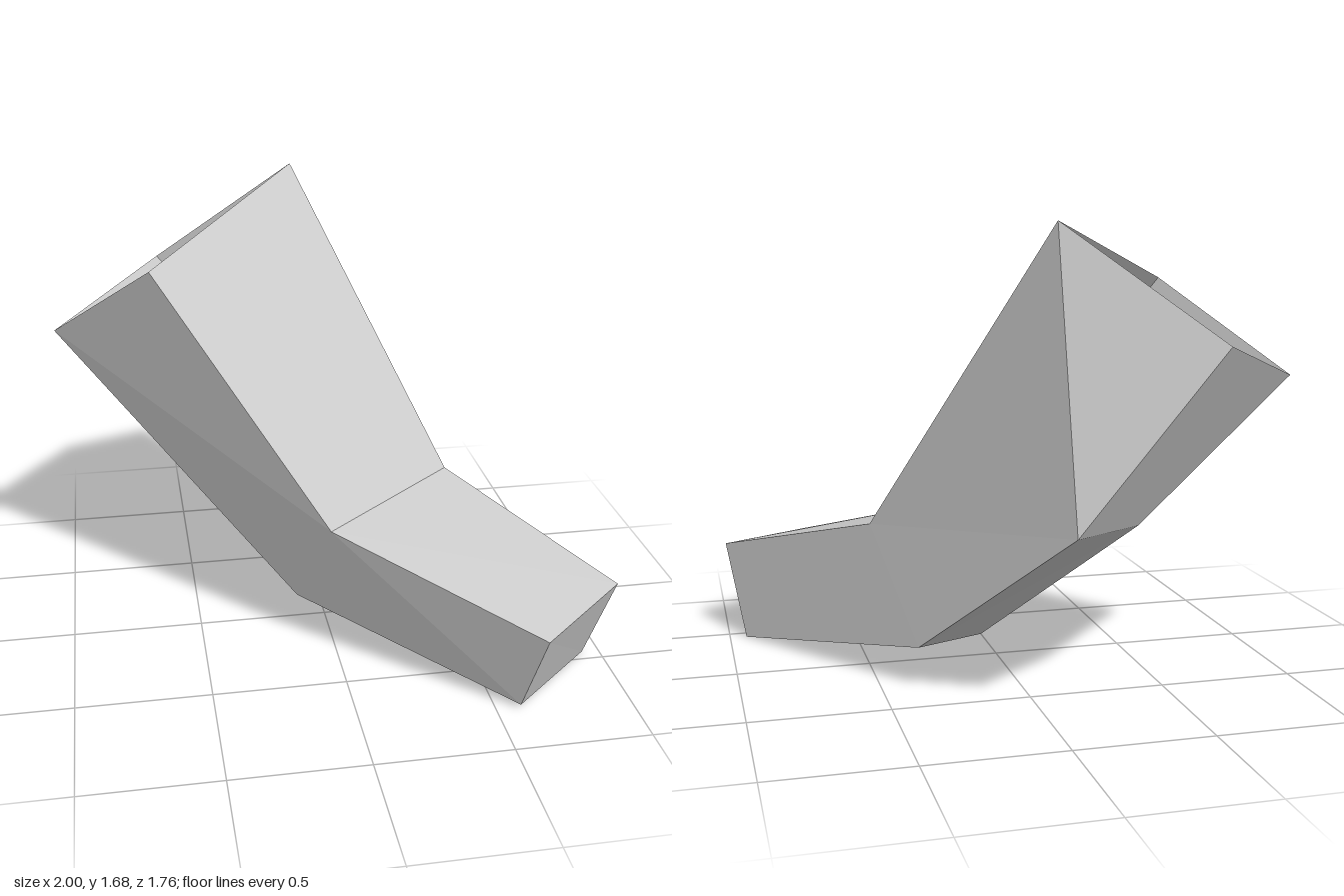
import * as THREE from 'three';

// Corner points of the bent, boot-like shell
const P = {
  cuffRight: [-0.02, 1.68, -0.73], cuffLeft: [-0.635, 1.46, -0.03],
  heelLeft: [-1.0, 1.12, -0.435], heelRight: [-0.57, 1.275, -0.88],
  backRight: [-0.06, 0.655, -0.85], backMid: [-0.36, 0.63, -0.6],
  bendLeft: [-0.035, 0.56, 0.36], bendRight: [0.505, 0.57, -0.09],
  soleLeft: [-0.135, 0.19, 0.16], soleMid: [0.08, 0.11, -0.08], soleRight: [0.37, 0.155, -0.32],
  tipTopLeft: [0.64, 0.34, 0.88], tipTopRight: [1.0, 0.365, 0.575],
  tipLowLeft: [0.59, 0.015, 0.77], tipLowRight: [0.935, 0.0, 0.45],
};

// Panels of the shell; the end beyond the cuff stays open
const panels = {
  shinPanel: ['cuffLeft bendLeft bendRight cuffRight'],
  instepPanel: ['bendLeft tipTopLeft tipTopRight bendRight'],
  leftWall: ['heelLeft soleLeft bendLeft cuffLeft', 'bendLeft soleLeft tipLowLeft tipTopLeft'],
  rightWall: ['cuffRight bendRight backRight', 'bendRight soleRight backRight',
    'bendRight tipTopRight tipLowRight soleRight'],
  tipPanel: ['tipTopLeft tipLowLeft tipLowRight tipTopRight'],
  solePanel: ['soleLeft soleMid tipLowLeft', 'soleMid soleRight tipLowRight tipLowLeft'],
  backPanel: ['soleRight soleMid backMid backRight', 'soleLeft heelLeft backMid soleMid',
    'heelRight backRight backMid heelLeft', 'cuffRight backRight heelRight'],
};

// Fan each polygon into flat triangles
function panelGeometry(polygons) {
  const positions = [];
  for (const polygon of polygons) {
    const c = polygon.split(' ').map((name) => P[name]);
    for (let i = 1; i < c.length - 1; i++) positions.push(...c[0], ...c[i], ...c[i + 1]);
  }
  const geometry = new THREE.BufferGeometry();
  geometry.setAttribute('position', new THREE.Float32BufferAttribute(positions, 3));
  geometry.computeVertexNormals();
  return geometry;
}

export function createModel() {
  const group = new THREE.Group();
  group.name = 'bentShell';
  const material = new THREE.MeshStandardMaterial({ color: 0xcccccc, side: THREE.DoubleSide, flatShading: true });
  material.name = 'light grey';
  for (const [name, polygons] of Object.entries(panels)) {
    const mesh = new THREE.Mesh(panelGeometry(polygons), material);
    mesh.name = name;
    group.add(mesh);
  }
  return group;
}
